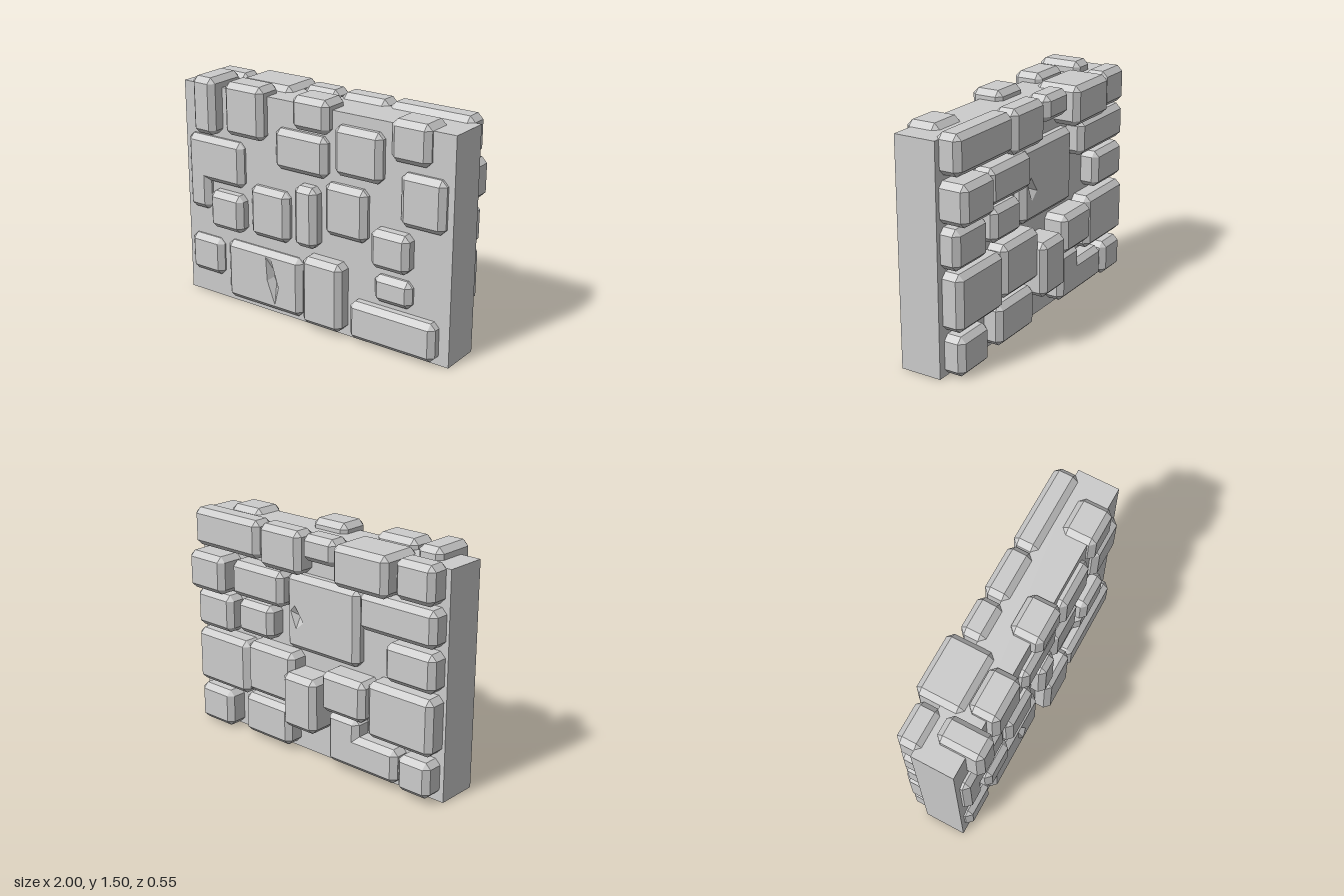
import * as THREE from 'three';

const CHAMFER = 0.035;
const material = new THREE.MeshStandardMaterial({ color: 0xcccccc, flatShading: true });

const rect = (x0, x1, y0, y1) => [[x0, y0], [x1, y0], [x1, y1], [x0, y1]];

// Chamfered block from a counter-clockwise right-angled outline.
// chip: optional { side, points, depth } notch cut into one face.
function stoneGeometry(outline, z0, z1, chip) {
  const c = CHAMFER, n = outline.length, pos = [];
  const unit = (a, b) => new THREE.Vector2(b[0] - a[0], b[1] - a[1]).normalize();
  const corners = outline.map((p, i) => {
    const din = unit(outline[(i + n - 1) % n], p), dout = unit(p, outline[(i + 1) % n]);
    const convex = din.x * dout.y - din.y * dout.x > 0, k = convex ? c : 0;
    return {
      convex,
      a: [p[0] - k * din.x, p[1] - k * din.y],
      b: [p[0] + k * dout.x, p[1] + k * dout.y],
      inset: [p[0] - c * (din.y + dout.y), p[1] + c * (din.x + dout.x)],
    };
  });
  const tri = (p, q, r, side = 1) => pos.push(...p, ...(side > 0 ? q : r), ...(side > 0 ? r : q));
  const quad = (p, q, r, s, side = 1) => { tri(p, q, r, side); tri(p, r, s, side); };
  const at = (p, z) => [p[0], p[1], z];

  // straight sides and vertical chamfers
  const lo = z0 + c, hi = z1 - c;
  corners.forEach((k, i) => {
    const next = corners[(i + 1) % n];
    if (k.convex) quad(at(k.a, lo), at(k.b, lo), at(k.b, hi), at(k.a, hi));
    quad(at(k.b, lo), at(next.a, lo), at(next.a, hi), at(k.b, hi));
  });

  // bevel ring and cap on each end
  for (const [side, rim, cap] of [[1, hi, z1], [-1, lo, z0]]) {
    corners.forEach((k, i) => {
      const next = corners[(i + 1) % n];
      if (k.convex) tri(at(k.a, rim), at(k.b, rim), at(k.inset, cap), side);
      quad(at(k.b, rim), at(next.a, rim), at(next.inset, cap), at(k.inset, cap), side);
    });
    const toV = (p) => new THREE.Vector2(p[0], p[1]);
    const ring = corners.map((k) => toV(k.inset));
    const cut = chip && chip.side === side ? chip.points : null;
    const holes = cut ? [cut.map(toV).reverse()] : [];
    const all = [...ring, ...holes.flat()].map((v) => [v.x, v.y]);
    for (const f of THREE.ShapeUtils.triangulateShape(ring, holes)) {
      const [p, q, r] = f.map((i) => at(all[i], cap));
      const ccw = (q[0] - p[0]) * (r[1] - p[1]) - (q[1] - p[1]) * (r[0] - p[0]) > 0;
      tri(p, q, r, ccw ? side : -side);
    }
    // notch walls meet at one deep point
    if (cut) {
      const mid = [0, 1].map((j) => cut.reduce((s, p) => s + p[j], 0) / cut.length);
      const deep = at(mid, cap - side * chip.depth);
      cut.forEach((p, i) => tri(at(p, cap), at(cut[(i + 1) % cut.length], cap), deep, side));
    }
  }
  const g = new THREE.BufferGeometry();
  g.setAttribute('position', new THREE.Float32BufferAttribute(pos, 3));
  g.computeVertexNormals();
  return g;
}

// x0, x1, y0, y1, outer z, inner z (optional)
const FRONT = [
  [-0.865, -0.69, 1.13, 1.5, 0.275, -0.02],
  [-0.63, -0.33, 1.15, 1.49, 0.245, 0.05],
  [-0.11, 0.16, 1.28, 1.49, 0.24, 0.03],
  [0.585, 0.85, 1.21, 1.465, 0.22, 0],
  [-0.25, 0.14, 1.0, 1.26, 0.23],
  [0.2, 0.535, 1.05, 1.36, 0.235],
  [0.66, 0.96, 0.83, 1.16, 0.225],
  [-0.765, -0.5, 0.505, 0.755, 0.255],
  [-0.45, -0.15, 0.515, 0.85, 0.23],
  [-0.085, 0.08, 0.54, 0.935, 0.26],
  [0.125, 0.43, 0.655, 0.99, 0.23],
  [0.48, 0.745, 0.54, 0.785, 0.26],
  [-0.965, -0.7, 0.155, 0.41, 0.22],
  [-0.015, 0.28, 0.04, 0.49, 0.275],
  [0.485, 0.75, 0.31, 0.485, 0.225],
  [0.325, 0.93, 0.025, 0.275, 0.25],
];
const BACK = [
  [0.39, 0.96, 1.22, 1.465, -0.22],
  [0.04, 0.38, 1.19, 1.465, -0.22],
  [-0.24, 0.02, 1.3, 1.465, -0.22],
  [-0.67, -0.26, 1.21, 1.465, -0.265, 0.04],
  [-0.965, -0.69, 1.22, 1.46, -0.22],
  [0.66, 0.97, 0.94, 1.19, -0.27],
  [0.19, 0.63, 0.95, 1.18, -0.22],
  [-0.98, -0.42, 0.97, 1.2, -0.21],
  [-0.98, -0.62, 0.7, 0.94, -0.21],
  [0.65, 0.97, 0.67, 0.92, -0.21],
  [0.29, 0.59, 0.71, 0.93, -0.21],
  [0.5, 0.96, 0.29, 0.65, -0.22],
  [0.1, 0.5, 0.33, 0.67, -0.22],
  [-0.13, 0.14, 0.21, 0.57, -0.275],
  [-0.5, -0.16, 0.39, 0.65, -0.25],
  [-0.98, -0.5, 0.31, 0.67, -0.22],
  [0.66, 0.95, 0.01, 0.26, -0.22],
  [0.14, 0.54, 0.03, 0.3, -0.21],
  [-0.97, -0.735, 0.04, 0.27, -0.22],
];

export function createModel() {
  const wall = new THREE.Group();
  wall.name = 'stoneWall';
  const add = (parent, name, geometry) => {
    const mesh = new THREE.Mesh(geometry, material);
    mesh.name = name;
    parent.add(mesh);
  };

  add(wall, 'wallSlab', new THREE.BoxGeometry(2, 1.43, 0.27).translate(0, 0.715, 0.04));

  const front = new THREE.Group();
  front.name = 'frontStones';
  for (const [x0, x1, y0, y1, outer, inner = 0.05] of FRONT)
    add(front, 'frontStone', stoneGeometry(rect(x0, x1, y0, y1), inner, outer));

  const back = new THREE.Group();
  back.name = 'backStones';
  for (const [x0, x1, y0, y1, outer, inner = -0.06] of BACK)
    add(back, 'backStone', stoneGeometry(rect(x0, x1, y0, y1), outer, inner));

  // L-shaped stones
  add(front, 'frontCornerStone', stoneGeometry(
    [[-0.96, 0.6], [-0.79, 0.6], [-0.79, 0.8], [-0.51, 0.8], [-0.51, 1.1], [-0.96, 1.1]], 0.05, 0.225));
  add(back, 'backCornerStone', stoneGeometry(
    [[-0.72, 0.05], [-0.18, 0.05], [-0.18, 0.38], [-0.42, 0.38], [-0.42, 0.27], [-0.72, 0.27]], -0.21, -0.06));

  // chipped stones
  add(front, 'frontChippedStone', stoneGeometry(rect(-0.655, -0.06, 0.03, 0.43), 0.05, 0.22, {
    side: 1, depth: 0.06,
    points: [[-0.26, 0.075], [-0.23, 0.2], [-0.29, 0.385], [-0.33, 0.388], [-0.32, 0.23]],
  }));
  add(back, 'backChippedStone', stoneGeometry(rect(-0.38, 0.2, 0.69, 1.18), -0.165, -0.06, {
    side: -1, depth: 0.04,
    points: [[0.05, 0.88], [0.11, 0.83], [0.155, 0.94], [0.12, 0.98]],
  }));

  wall.add(front, back);
  return wall;
}
